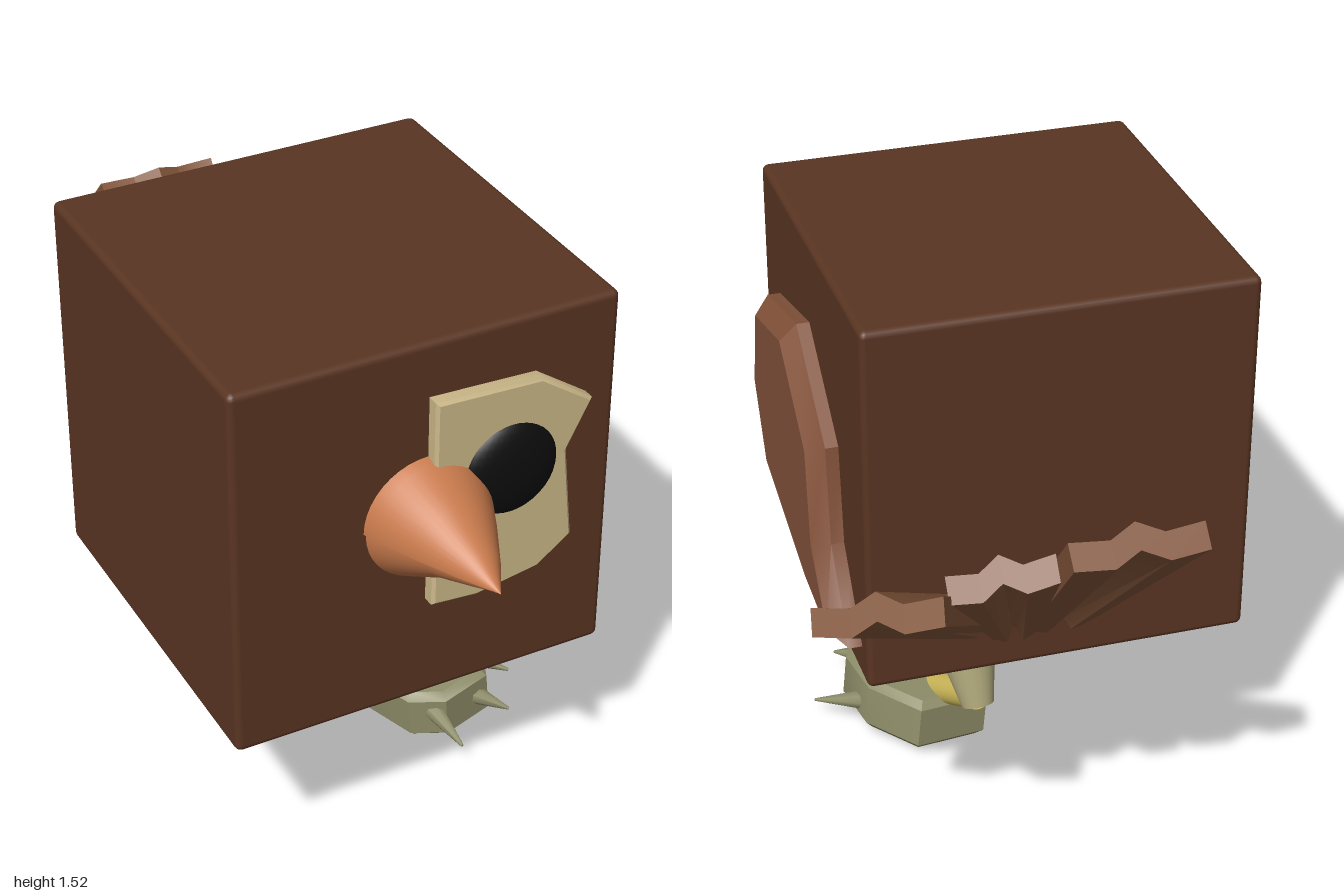
import * as THREE from 'three';
import { toCreasedNormals } from 'three/addons/utils/BufferGeometryUtils.js';
import { RoundedBoxGeometry } from 'three/addons/geometries/RoundedBoxGeometry.js';

const mat = (color, side = THREE.FrontSide) => new THREE.MeshStandardMaterial({ color, side });
const vec = (a) => new THREE.Vector3(...a);

function add(parent, name, geometry, material, position = [0, 0, 0]) {
  const mesh = new THREE.Mesh(geometry, material);
  mesh.name = name;
  mesh.position.set(...position);
  parent.add(mesh);
  return mesh;
}

// Flat outline pushed along z, with bevelled rims inside the outline
function plate(points, depth, bevel) {
  const shape = new THREE.Shape(points.map(([x, y]) => new THREE.Vector2(x, y)));
  const geo = new THREE.ExtrudeGeometry(shape, {
    depth, bevelThickness: bevel, bevelSize: bevel, bevelOffset: -bevel, bevelSegments: 1,
  });
  return toCreasedNormals(geo, 0.6);
}

// Tapered limb between two points
function limb(parent, name, from, to, r0, r1, material, sides = 24) {
  const a = vec(from), b = vec(to), dir = b.clone().sub(a);
  const mesh = add(parent, name, new THREE.CylinderGeometry(r1, r0, dir.length(), sides), material);
  mesh.position.copy(a).add(b).multiplyScalar(0.5);
  mesh.quaternion.setFromUnitVectors(new THREE.Vector3(0, 1, 0), dir.normalize());
  return mesh;
}

// Ribbed tail feather lofted from its root edge to its end edge
function feather(rootL, rootR, endL, endR) {
  const edges = [[vec(rootL), vec(rootR)], [vec(endL), vec(endR)]];
  const mid = edges.map(([l, r]) => l.clone().add(r).multiplyScalar(0.5));
  const normal = edges[1][1].clone().sub(edges[1][0]).cross(mid[1].clone().sub(mid[0])).normalize();
  const section = [[0, 0], [0.3, -0.01], [0.5, 0.025], [0.7, -0.01], [1, 0],
    [1, -0.07], [0.7, -0.08], [0.5, -0.045], [0.3, -0.08], [0, -0.07]];
  const n = section.length, pos = [], idx = [];
  for (const [l, r] of edges) {
    for (const [t, h] of section) pos.push(...l.clone().lerp(r, t).addScaledVector(normal, h));
  }
  for (let i = 0; i < n; i++) {
    const j = (i + 1) % n;
    idx.push(i, j, n + j, i, n + j, n + i);
  }
  // End caps, as strips between top and bottom of the section
  for (let i = 0; i < 4; i++) {
    const a = i, b = i + 1, c = n - 2 - i, d = n - 1 - i;
    idx.push(a, c, b, a, d, c, n + a, n + b, n + c, n + a, n + c, n + d);
  }
  const geo = new THREE.BufferGeometry();
  geo.setAttribute('position', new THREE.Float32BufferAttribute(pos, 3));
  geo.setIndex(idx);
  return toCreasedNormals(geo, 0.7);
}

// Half of a beak: a half lathe pointing along +z
function beakHalf(profile, phiStart) {
  const pts = profile.map(([r, z]) => new THREE.Vector2(r, z));
  return new THREE.LatheGeometry(pts, 20, phiStart, Math.PI).rotateX(Math.PI / 2);
}

export function createModel() {
  const model = new THREE.Group();
  model.name = 'cubeBird';
  const footMat = mat(0x8f8e6a);

  // Head and body turned slightly aside
  const bird = new THREE.Group();
  bird.name = 'bird';
  bird.position.set(-0.16, 0, 0.14);
  bird.rotation.y = -0.224;
  model.add(bird);

  add(bird, 'body', new RoundedBoxGeometry(1.04, 1.04, 1.04, 2, 0.018), mat(0x5a3522), [0, 1.01, 0]);

  // Face patch and eye
  const patch = [[0, 0.79], [0.127, 0.78], [0.3, 0.81], [0.394, 0.88], [0.368, 1.14],
    [0.435, 1.27], [0.29, 1.37], [0, 1.38]];
  add(bird, 'facePatch', plate(patch, 0.05, 0.008), mat(0xcdb98a), [0, 0, 0.5]);
  const eye = add(bird, 'eye', new THREE.SphereGeometry(0.132, 32, 20), mat(0x0d0d0d), [0.21, 1.135, 0.545]);
  eye.scale.z = 0.36;

  // Beak
  const beakMat = mat(0xc87a4c, THREE.DoubleSide);
  add(bird, 'upperBeak', beakHalf([[0.178, 0.5], [0.165, 0.55], [0.115, 0.66], [0.055, 0.78], [0, 0.875]], Math.PI / 2),
    beakMat, [0, 1.04, 0]);
  add(bird, 'lowerBeak', beakHalf([[0.178, 0.5], [0.15, 0.55], [0.085, 0.66], [0.035, 0.78], [0, 0.86]], -Math.PI / 2),
    beakMat, [0, 1.035, 0]);

  // Wing on the side, outline given as (-z, y)
  const wing = [[-0.347, 1.22], [-0.41, 0.95], [-0.285, 0.72], [0.166, 0.6], [0.464, 0.59],
    [0.3, 0.81], [0.269, 1.08], [-0.008, 1.3]];
  const wingMesh = add(bird, 'wing', plate(wing, 0.05, 0.045), mat(0x83523a), [0.505, 0, 0]);
  wingMesh.rotation.y = Math.PI / 2;

  // Fanned tail
  const tailMat = mat(0x83563a, THREE.DoubleSide);
  const tail = new THREE.Group();
  tail.name = 'tail';
  bird.add(tail);
  [
    [[-0.07, 0.53, -0.36], [0.07, 0.53, -0.36], [-0.16, 1.22, -1.085], [0.18, 1.22, -1.085]],
    [[0.05, 0.56, -0.4], [0.14, 0.56, -0.4], [0.2, 1.18, -1.06], [0.44, 1.1, -0.96]],
    [[0.14, 0.66, -0.45], [0.21, 0.62, -0.44], [0.475, 1.12, -1.07], [0.74, 1.0, -0.85]],
  ].forEach((corners, i) => add(tail, `tailFeather${i + 1}`, feather(...corners), tailMat));

  // Leg
  limb(model, 'thigh', [0.075, 0.54, -0.02], [0.075, 0.24, -0.145], 0.112, 0.045, mat(0xb0a97c));
  limb(model, 'shin', [0.07, 0.26, -0.13], [0.07, 0.14, 0.11], 0.042, 0.042, mat(0xd2bd5c));

  // Foot, outline given as (x, -z), rolled up towards the outside
  const outline = [[-0.02, 0.01], [-0.055, -0.12], [-0.035, -0.34], [0.04, -0.41],
    [0.19, -0.41], [0.255, -0.32], [0.27, -0.15], [0.19, 0.01]];
  const footGeo = plate(outline, 0.115, 0.02).rotateX(-Math.PI / 2);
  const foot = add(model, 'foot', footGeo, footMat, [0, 0.032, 0]);
  foot.rotation.z = 0.1;

  // Claws
  [
    [[0.02, 0.11, 0.35], [0.0, 0.075, 0.51]],
    [[0.14, 0.11, 0.38], [0.2, 0.08, 0.48]],
    [[0.23, 0.095, 0.2], [0.34, 0.052, 0.33]],
  ].forEach(([from, to], i) => limb(model, `claw${i + 1}`, from, to, 0.032, 0.004, footMat, 8));

  return model;
}
